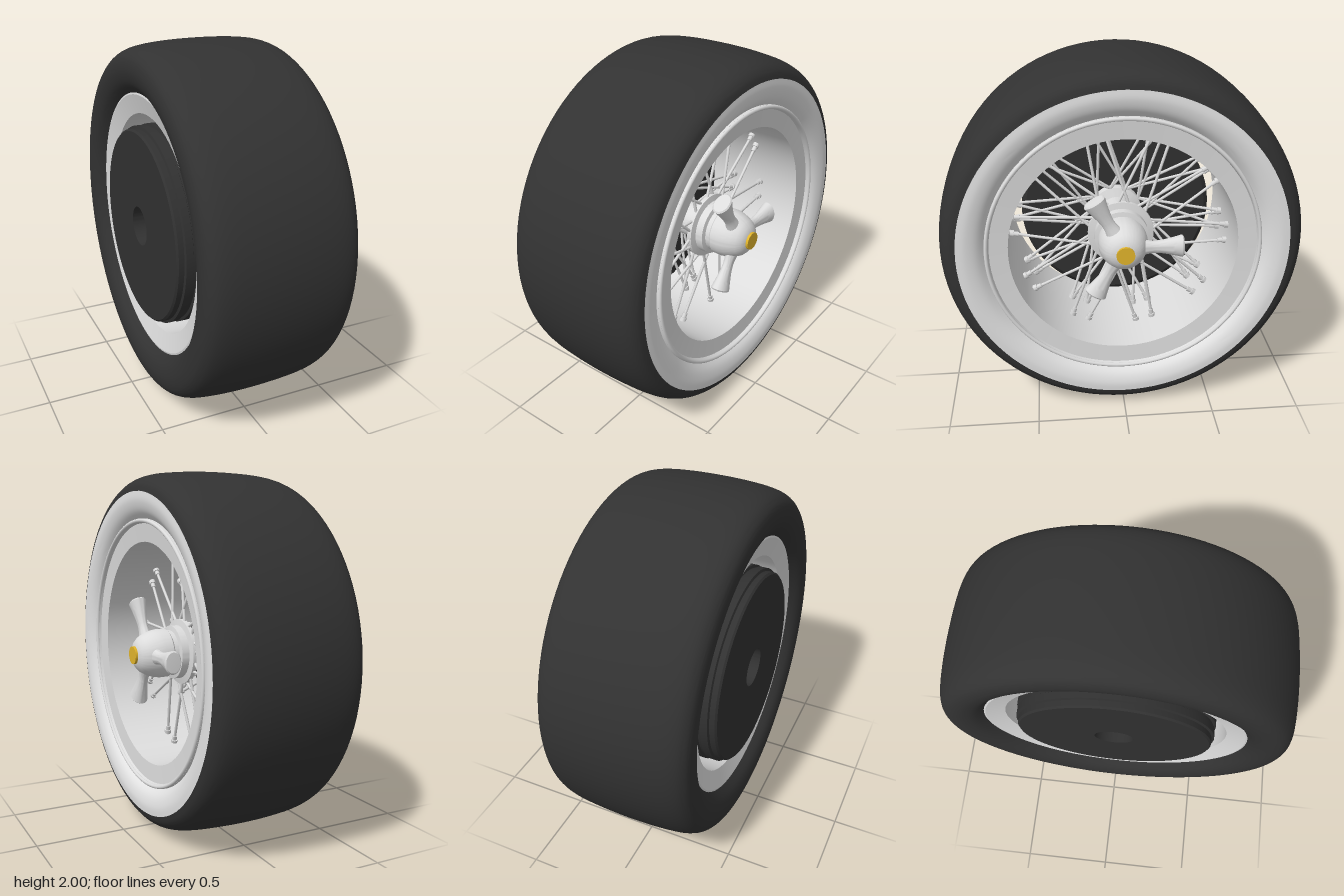
import * as THREE from 'three';
import { toCreasedNormals } from 'three/addons/utils/BufferGeometryUtils.js';

const material = (name, color) => {
  const m = new THREE.MeshStandardMaterial({ color });
  m.name = name;
  return m;
};

export function createModel() {
  const rubber = material('black rubber', 0x323232);
  const white = material('white sidewall', 0xe4e4e4);
  const metal = material('bright metal', 0xdcdcdc);
  const iron = material('dark drum', 0x313131);
  const gold = material('gold', 0xe2b52c);

  const model = new THREE.Group();
  model.name = 'wireWheel';
  const wheel = new THREE.Group();
  wheel.name = 'wheel';
  wheel.position.y = 1;
  model.add(wheel);

  const add = (name, geometry, mat, parent = wheel) => {
    const mesh = new THREE.Mesh(geometry, mat);
    mesh.name = name;
    parent.add(mesh);
    return mesh;
  };
  const vectors = (list) => list.map(([r, a]) => new THREE.Vector2(r, a));
  const smooth = (list, n) => new THREE.SplineCurve(vectors(list)).getPoints(n);
  // Profiles are [radius, position along the axle]; the axle lies on x
  const turn = (name, points, mat, crease = 0.5) => {
    const g = toCreasedNormals(new THREE.LatheGeometry(points, 96), crease);
    return add(name, g.rotateZ(-Math.PI / 2), mat);
  };
  // Point on the wheel at a radius, angle and axle position
  const at = (r, t, a) => new THREE.Vector3(a, r * Math.sin(t), -r * Math.cos(t));
  const deg = THREE.MathUtils.degToRad;

  // Tyre: one shoulder mirrored about its middle, plus the white outer sidewall
  const sidewall = [[0.7, 0.3], [0.74, 0.348], [0.785, 0.385], [0.84, 0.402], [0.89, 0.401]];
  const shoulder = [[0.89, 0.401], [0.93, 0.386], [0.963, 0.347], [0.984, 0.272], [0.996, 0.14]];
  const back = [...sidewall.slice(0, 4), ...shoulder].map(([r, a]) => [r, -0.03 - a]);
  turn('tyre', smooth([...back, [1, -0.015], ...shoulder.slice().reverse()], 72), rubber, 0.7);
  turn('whiteSidewall', smooth(sidewall.slice().reverse(), 20), white, 0.7);

  // Rim with a deep barrel and a rolled lip
  turn('rim', vectors([
    [0.62, -0.345], [0.725, -0.375], [0.742, -0.37], [0.69, -0.28], [0.69, 0.28],
    [0.745, 0.34], [0.745, 0.367], [0.725, 0.37], [0.72, 0.352], [0.62, 0.345], [0.62, -0.345],
  ]), metal);
  const lip = add('rimLip', new THREE.TorusGeometry(0.734, 0.011, 10, 96), metal);
  lip.rotation.y = Math.PI / 2;
  lip.position.x = 0.368;

  // Brake drum with stepped edge and a hole in its back
  turn('brakeDrum', vectors([
    [0, -0.25], [0.11, -0.25], [0.11, -0.415], [0.53, -0.415], [0.54, -0.405], [0.54, -0.375],
    [0.555, -0.37], [0.555, -0.33], [0.545, -0.325], [0.545, -0.31], [0.56, -0.305],
    [0.56, -0.22], [0.535, -0.2], [0, -0.2],
  ]), iron);

  // Hub with spoke flanges and rounded nose
  turn('hub', vectors([
    [0, -0.202], [0.15, -0.202], [0.15, -0.15], [0.1, -0.13], [0.1, 0.1], [0.185, 0.12],
    [0.185, 0.145], [0.15, 0.152], [0.15, 0.195], [0.125, 0.2], [0.125, 0.225],
    [0.135, 0.235], [0.136, 0.28], [0.13, 0.315], [0.118, 0.35], [0.102, 0.38],
    [0.08, 0.402], [0.05, 0.416], [0, 0.418],
  ]), metal);
  const cap = add('noseCap', new THREE.CylinderGeometry(0.05, 0.05, 0.02, 16), gold);
  cap.rotation.z = -Math.PI / 2;
  cap.position.x = 0.42;

  // Three flared wings of the spinner
  const wingProfile = [...smooth([[0.05, 0.08], [0.036, 0.15], [0.038, 0.2], [0.05, 0.26], [0.064, 0.315]], 20),
    ...vectors([[0.056, 0.323], [0, 0.325]])];
  const wingShape = toCreasedNormals(new THREE.LatheGeometry(wingProfile, 32).scale(0.75, 1, 1), 0.6);
  for (let i = 0; i < 3; i++) {
    const wing = add('spinnerWing', wingShape, metal);
    wing.rotation.x = deg(120 * i - 90);
    wing.position.x = 0.33;
  }

  // Wire spokes in ten groups, each ending in a nipple at the rim
  const rod = (name, from, to, radius, sides, parent) => {
    const d = to.clone().sub(from);
    const mesh = add(name, new THREE.CylinderGeometry(radius, radius, d.length(), sides), metal, parent);
    mesh.position.copy(from).addScaledVector(d, 0.5);
    mesh.quaternion.setFromUnitVectors(new THREE.Vector3(0, 1, 0), d.normalize());
  };
  const layers = [
    { rimA: 0.09, hubA: 0.132, hubR: 0.165, swing: 30 },
    { rimA: -0.1, hubA: -0.16, hubR: 0.135, swing: -45 },
    { rimA: -0.1, hubA: -0.16, hubR: 0.135, swing: 42 },
  ];
  for (let i = 0; i < 10; i++) {
    const group = new THREE.Group();
    group.name = 'spokeGroup';
    wheel.add(group);
    for (const { rimA, hubA, hubR, swing } of layers) {
      for (const side of [-1, 1]) {
        const middle = 36 * i - 4.5;
        const outer = at(0.622, deg(middle + side * 4.5), rimA);
        const inner = at(hubR, deg(middle + side * swing), hubA);
        rod('spoke', inner, outer, 0.0085, 8, group);
        rod('nipple', outer.clone().lerp(inner, 0.11), outer, 0.014, 8, group);
        rod('nippleCollar', outer.clone().lerp(inner, 0.05), outer, 0.02, 8, group);
      }
    }
  }
  return model;
}
